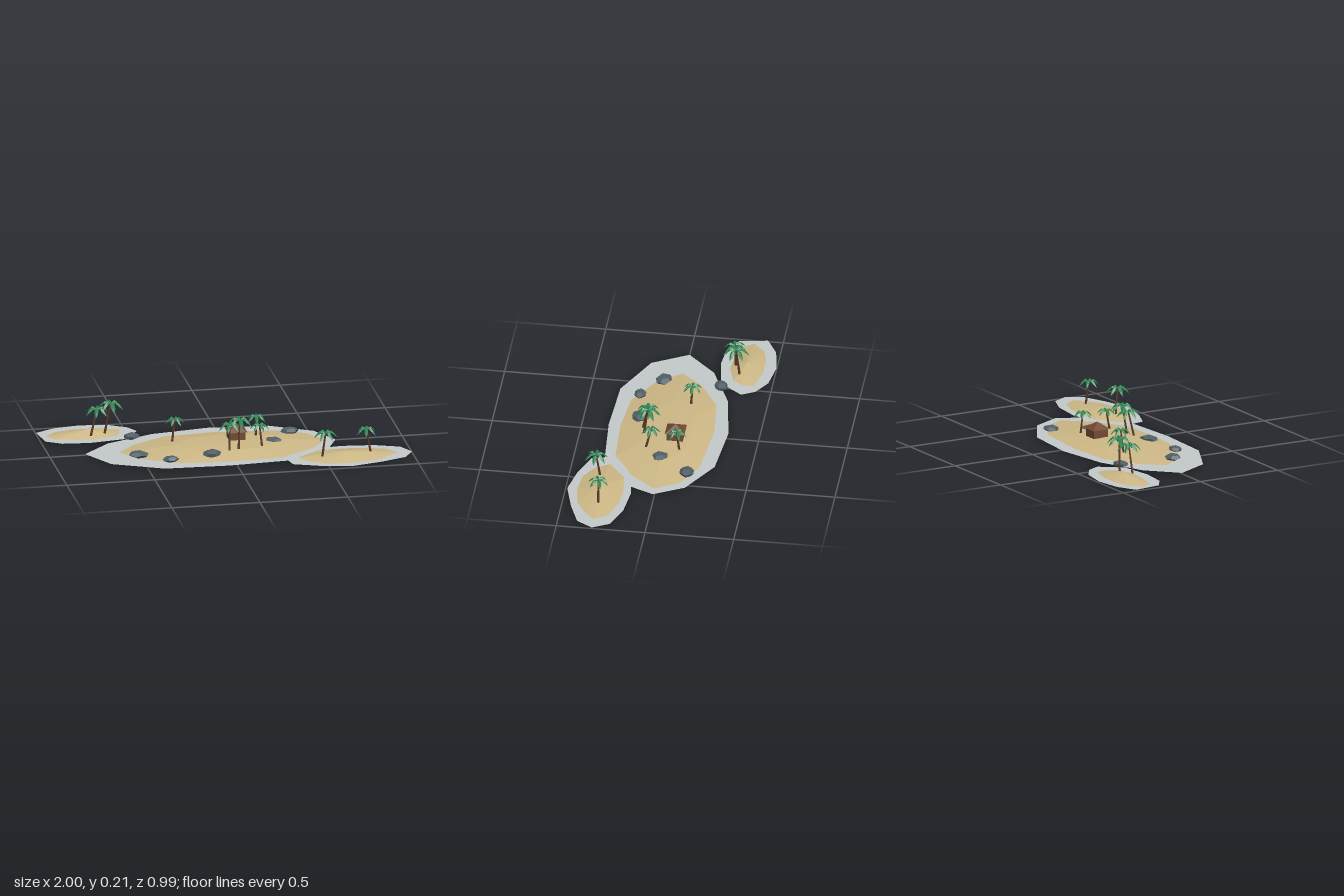
import * as THREE from 'three';

const mat = (name, color, side = THREE.FrontSide) => {
  const m = new THREE.MeshStandardMaterial({ color, side });
  m.name = name;
  return m;
};

// Triangle list -> faceted geometry
function faceted(tris) {
  const g = new THREE.BufferGeometry();
  g.setAttribute('position', new THREE.Float32BufferAttribute(tris.flat(2), 3));
  g.computeVertexNormals();
  return g;
}

// Outline [x, z] ordered so that a fan over it faces up
function upward(outline) {
  let area = 0;
  outline.forEach(([ax, az], i) => {
    const [bx, bz] = outline[(i + 1) % outline.length];
    area += az * bx - ax * bz;
  });
  return area > 0 ? outline : [...outline].reverse();
}

// Low mound: outline at y = 0, optional middle ring, and a peak
function mound(outline, peak, ringScale = 0, ringY = 0) {
  const pts = upward(outline);
  const [px, , pz] = peak;
  const ring = ([x, z]) => [px + (x - px) * ringScale, ringY, pz + (z - pz) * ringScale];
  const tris = [];
  pts.forEach((p, i) => {
    const q = pts[(i + 1) % pts.length];
    const a = [p[0], 0, p[1]], b = [q[0], 0, q[1]];
    if (ringScale) {
      const c = ring(p), d = ring(q);
      tris.push([a, b, d], [a, d, c], [peak, c, d]);
      tris.push([[px, 0, pz], b, a]); // underside
    } else tris.push([peak, a, b]);
  });
  return faceted(tris);
}

// Flat sheet of shallow water around a mound
function sheet(outline, y) {
  const pts = upward(outline).map(([x, z]) => new THREE.Vector2(x, -z));
  return new THREE.ShapeGeometry(new THREE.Shape(pts)).rotateX(-Math.PI / 2).translate(0, y, 0);
}

// Six folded, drooping fronds with a unit reach
function crownGeometry() {
  const tris = [];
  // reach, midrib height, half width, drop of the edges
  const stations = [[0, 0, 0.03, 0.03], [0.45, 0.16, 0.17, 0.14], [0.75, -0.1, 0.14, 0.14], [1, -0.5, 0, 0]];
  for (let k = 0; k < 6; k++) {
    const t = (k * Math.PI) / 3, c = Math.cos(t), s = Math.sin(t);
    const at = (r, y, w) => [r * c - w * s, y, r * s + w * c];
    for (let i = 0; i < 3; i++) {
      const [r0, y0, w0, d0] = stations[i], [r1, y1, w1, d1] = stations[i + 1];
      const m0 = at(r0, y0, 0), m1 = at(r1, y1, 0);
      const l0 = at(r0, y0 - d0, w0), l1 = at(r1, y1 - d1, w1);
      const n0 = at(r0, y0 - d0, -w0), n1 = at(r1, y1 - d1, -w1);
      tris.push([m0, l0, m1], [n0, m0, m1]);
      if (w1) tris.push([l0, l1, m1], [n0, m1, n1]);
    }
  }
  return faceted(tris);
}

export function createModel() {
  const root = new THREE.Group();
  root.name = 'islands';
  const sand = mat('sand', 0xcdb886);
  const water = mat('shallow water', 0xc3cac9, THREE.DoubleSide);
  const bark = mat('bark', 0x5a3a28);
  const wood = mat('hut wood', 0x714a33);
  const leaf = mat('palm leaf', 0x2c8452, THREE.DoubleSide);
  const stone = mat('stone', 0x536068);

  const add = (name, geo, material, parent = root) => {
    const m = new THREE.Mesh(geo, material);
    m.name = name;
    parent.add(m);
    return m;
  };

  // Main island
  add('mainWater', sheet([[-0.8, 0], [-0.69, 0.2], [-0.41, 0.335], [-0.045, 0.35], [0.3, 0.325], [0.54, 0.19],
    [0.62, 0.01], [0.53, -0.16], [0.3, -0.295], [-0.045, -0.325], [-0.37, -0.275], [-0.64, -0.16]], 0.002), water);
  add('mainSand', mound([[-0.635, 0.01], [-0.53, 0.15], [-0.32, 0.27], [-0.045, 0.295], [0.275, 0.28], [0.465, 0.16],
    [0.585, 0.01], [0.505, -0.13], [0.33, -0.22], [-0.045, -0.255], [-0.33, -0.23], [-0.525, -0.115]],
  [0.03, 0.03, 0.01], 0.5, 0.025), sand);

  // Front left island
  add('frontWater', sheet([[1, 0.3], [0.95, 0.205], [0.81, 0.15], [0.625, 0.13], [0.45, 0.155], [0.34, 0.2],
    [0.285, 0.3], [0.305, 0.395], [0.455, 0.455], [0.625, 0.49], [0.8, 0.445], [0.945, 0.39]], 0.0025), water);
  add('frontSand', mound([[0.94, 0.3], [0.885, 0.22], [0.75, 0.175], [0.62, 0.165], [0.465, 0.18], [0.33, 0.285],
    [0.39, 0.375], [0.485, 0.43], [0.63, 0.445], [0.78, 0.42], [0.885, 0.355]], [0.62, 0.033, 0.305]), sand);

  // Back right island
  add('backWater', sheet([[-1, -0.415], [-0.89, -0.475], [-0.735, -0.5], [-0.575, -0.475], [-0.48, -0.415],
    [-0.44, -0.34], [-0.535, -0.215], [-0.735, -0.185], [-0.89, -0.2], [-0.975, -0.255]], 0.0025), water);
  add('backSand', mound([[-0.98, -0.345], [-0.905, -0.415], [-0.8, -0.44], [-0.665, -0.44], [-0.52, -0.4],
    [-0.525, -0.33], [-0.56, -0.275], [-0.69, -0.235], [-0.8, -0.245], [-0.935, -0.28]], [-0.72, 0.033, -0.335]), sand);

  // Hut: square room under a pyramid roof
  const hut = new THREE.Group();
  hut.name = 'hut';
  hut.position.set(0.065, 0, -0.043);
  root.add(hut);
  add('hutWalls', new THREE.BoxGeometry(0.09, 0.055, 0.09).translate(0, 0.05, 0), wood, hut);
  add('hutRoof', new THREE.ConeGeometry(0.055 * Math.SQRT2, 0.038, 4).toNonIndexed()
    .rotateY(Math.PI / 4).translate(0, 0.094, 0), wood, hut).geometry.computeVertexNormals();

  // Palms: foot x z, crown x y z, frond reach
  const crown = crownGeometry();
  const palms = [
    [-0.715, -0.272, -0.68, 0.17, -0.275, 0.07], [-0.63, -0.305, -0.6, 0.193, -0.29, 0.075],
    [-0.29, -0.08, -0.275, 0.145, -0.09, 0.057], [0.185, -0.08, 0.185, 0.14, -0.065, 0.057],
    [0.185, 0.11, 0.175, 0.138, 0.08, 0.055], [-0.01, 0.153, 0, 0.165, 0.12, 0.068],
    [0.045, 0.14, 0.055, 0.187, 0.115, 0.073], [0.485, 0.325, 0.5, 0.16, 0.345, 0.068],
    [0.765, 0.295, 0.74, 0.152, 0.3, 0.06],
  ];
  palms.forEach(([fx, fz, cx, cy, cz, reach], i) => {
    const palm = new THREE.Group();
    palm.name = 'palm' + (i + 1);
    root.add(palm);
    const foot = new THREE.Vector3(fx, 0.015, fz), top = new THREE.Vector3(cx, cy, cz);
    const dir = top.clone().sub(foot);
    const geo = new THREE.CylinderGeometry(0.0045, 0.007, dir.length(), 6).toNonIndexed();
    geo.computeVertexNormals();
    const trunk = add('trunk', geo, bark, palm);
    trunk.position.copy(foot).add(top).multiplyScalar(0.5);
    trunk.quaternion.setFromUnitVectors(new THREE.Vector3(0, 1, 0), dir.normalize());
    const fronds = add('fronds', crown, leaf, palm);
    fronds.position.copy(top);
    fronds.scale.setScalar(reach);
    fronds.rotation.y = 0.25 + i * 0.4;
  });

  // Rocks: x y z, half sizes, turn
  const rocks = [
    [-0.495, 0.016, -0.22, 0.047, 0.02, 0.038, 0.3], [0.39, 0.016, -0.15, 0.052, 0.019, 0.042, 0],
    [0.265, 0.022, 0.018, 0.047, 0.017, 0.05, 0.9], [-0.115, 0.024, 0.185, 0.055, 0.022, 0.045, 0.4],
    [-0.355, 0.015, 0.215, 0.047, 0.018, 0.034, 0], [-0.515, 0.017, 0.105, 0.058, 0.02, 0.045, -0.2],
  ];
  rocks.forEach(([x, y, z, sx, sy, sz, turn], i) => {
    const rock = add('rock' + (i + 1), new THREE.DodecahedronGeometry(1).rotateZ(0.4 + i), stone);
    rock.position.set(x, y, z);
    rock.scale.set(sx, sy, sz);
    rock.rotation.y = turn;
  });
  return root;
}
